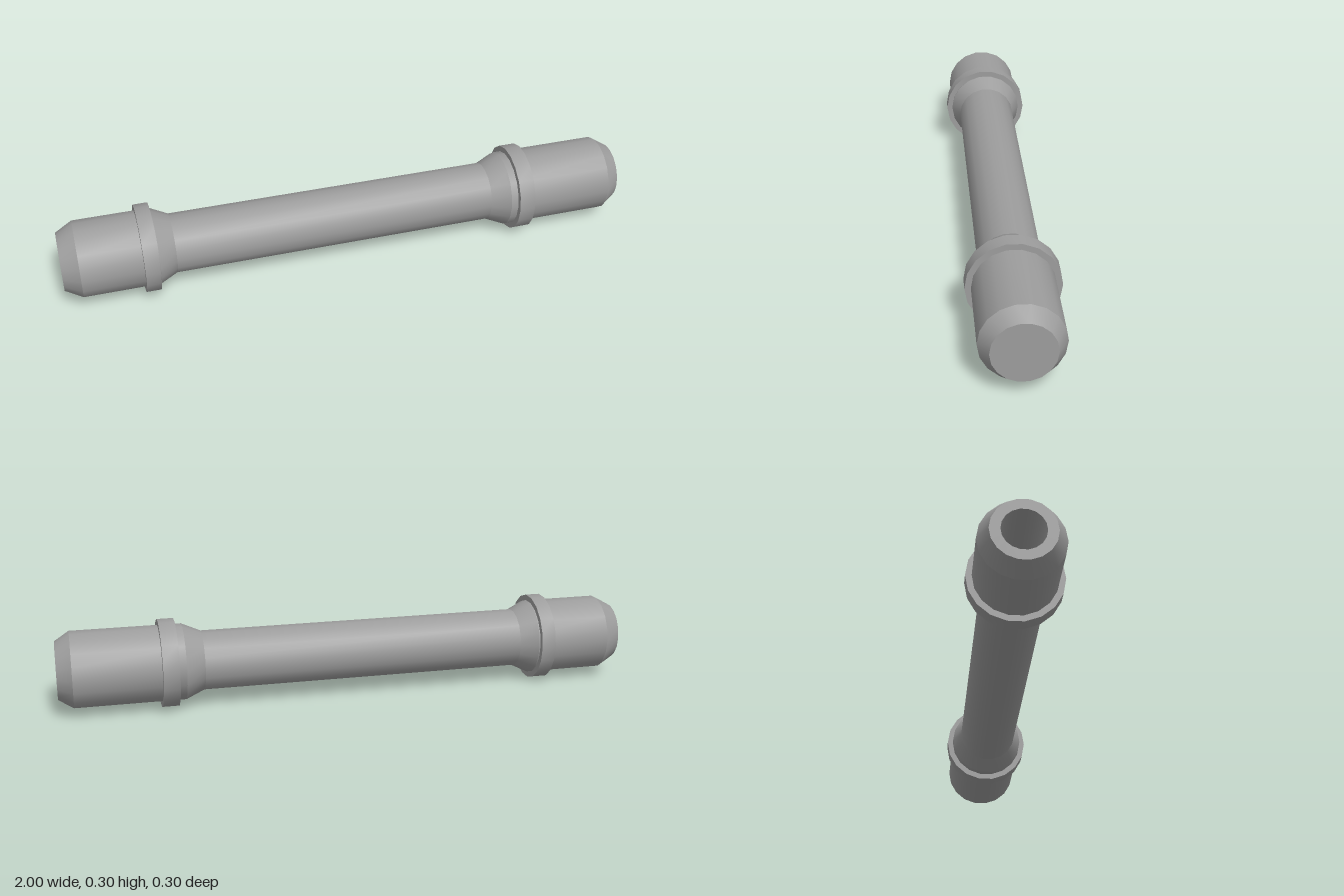
import * as THREE from 'three';
import { toCreasedNormals } from 'three/addons/utils/BufferGeometryUtils.js';

const SIDES = 18;
const AXIS_HEIGHT = 0.15;

// Turns a profile of [position along x, radius] pairs around the x axis
function turned(name, profile, material) {
  const points = profile.map(([x, r]) => new THREE.Vector2(r, x));
  const lathe = new THREE.LatheGeometry(points, SIDES);
  lathe.rotateZ(-Math.PI / 2);
  const mesh = new THREE.Mesh(toCreasedNormals(lathe, THREE.MathUtils.degToRad(22)), material);
  mesh.name = name;
  mesh.position.y = AXIS_HEIGHT;
  return mesh;
}

export function createModel() {
  const material = new THREE.MeshStandardMaterial({ color: 0x9d9d9d });
  const grip = 0.132, shaft = 0.103, tip = 0.1, bore = 0.067, flange = 0.152;

  const model = new THREE.Group();
  model.name = 'handle';

  // Shaft with two thick chamfered ends; the -x end is bored, the +x end is closed
  model.add(turned('body', [
    [-0.5, 0], [-0.5, bore], [-1, bore], [-1, tip],
    [-0.942, grip], [-0.68, grip], [-0.62, shaft],
    [0.51, shaft], [0.575, grip], [0.95, grip],
    [1, tip], [1, 0],
  ], material));

  // Raised rings where the ends meet the shaft
  for (const [name, from, to] of [['rightCollar', -0.733, -0.683], ['leftCollar', 0.6, 0.656]]) {
    const inner = grip - 0.004;
    model.add(turned(name, [[from, inner], [from, flange], [to, flange], [to, inner]], material));
  }

  return model;
}
